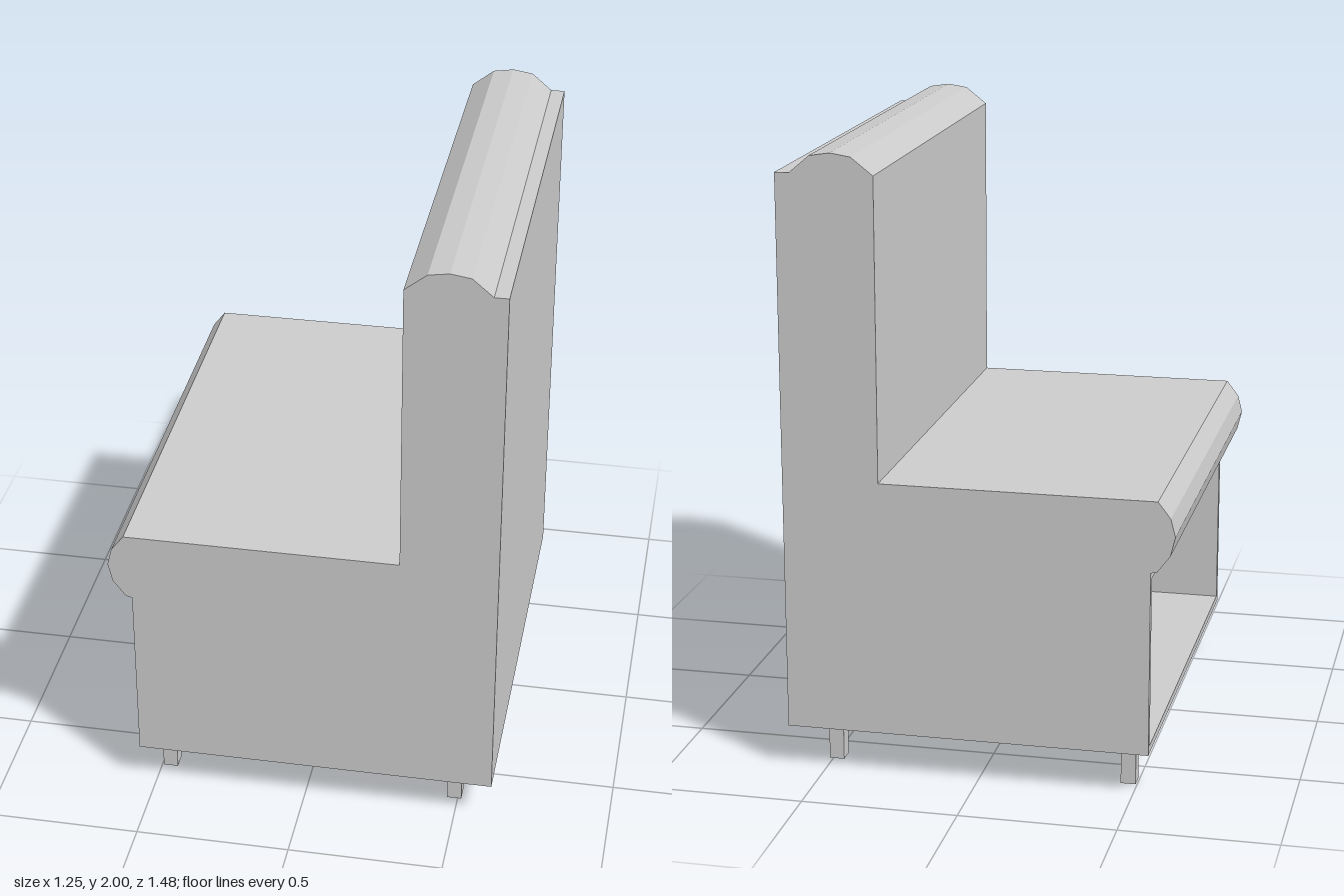
import * as THREE from 'three';

const material = new THREE.MeshStandardMaterial({ color: 0xcccccc, flatShading: true });
const HALF = 0.74; // half the bench length along z
const WALL = 0.025; // board thickness around the open storage space

// Closed side outline, from the back foot up over the backrest to the seat roll
const outline = [
  [0.62, 0.14], [0.62, 1.935], [0.575, 1.935], [0.51, 1.99], [0.445, 2], [0.38, 1.99],
  [0.31, 1.935], [0.31, 0.97], [-0.57, 0.97], [-0.61, 0.918], [-0.625, 0.86],
  [-0.61, 0.798], [-0.57, 0.745], [-0.55, 0.74],
];
const frontFoot = [[-0.55, 0.14]];

// Notch that turns the middle section into an open-fronted box
const notch = [
  [-0.55, 0.74 - WALL], [0.62 - WALL, 0.74 - WALL],
  [0.62 - WALL, 0.14 + WALL], [-0.55, 0.14 + WALL],
];

function slab(name, points, z0, z1) {
  const shape = new THREE.Shape(points.map(([x, y]) => new THREE.Vector2(x, y)));
  const geometry = new THREE.ExtrudeGeometry(shape, { depth: z1 - z0, bevelEnabled: false });
  geometry.translate(0, 0, z0);
  const mesh = new THREE.Mesh(geometry, material);
  mesh.name = name;
  return mesh;
}

export function createModel() {
  const bench = new THREE.Group();
  bench.name = 'boothBench';

  // Seat, backrest and storage space between two solid end panels
  bench.add(slab('seatAndBackrest', [...outline, ...notch, ...frontFoot], -HALF + WALL, HALF - WALL));
  bench.add(slab('leftEndPanel', [...outline, ...frontFoot], HALF - WALL, HALF));
  bench.add(slab('rightEndPanel', [...outline, ...frontFoot], -HALF, -HALF + WALL));

  // Four short square legs
  const legGeometry = new THREE.BoxGeometry(0.048, 0.14, 0.052);
  for (const x of [-0.471, 0.488]) {
    for (const z of [-0.621, 0.621]) {
      const leg = new THREE.Mesh(legGeometry, material);
      leg.name = 'leg';
      leg.position.set(x, 0.07, z);
      bench.add(leg);
    }
  }
  return bench;
}
